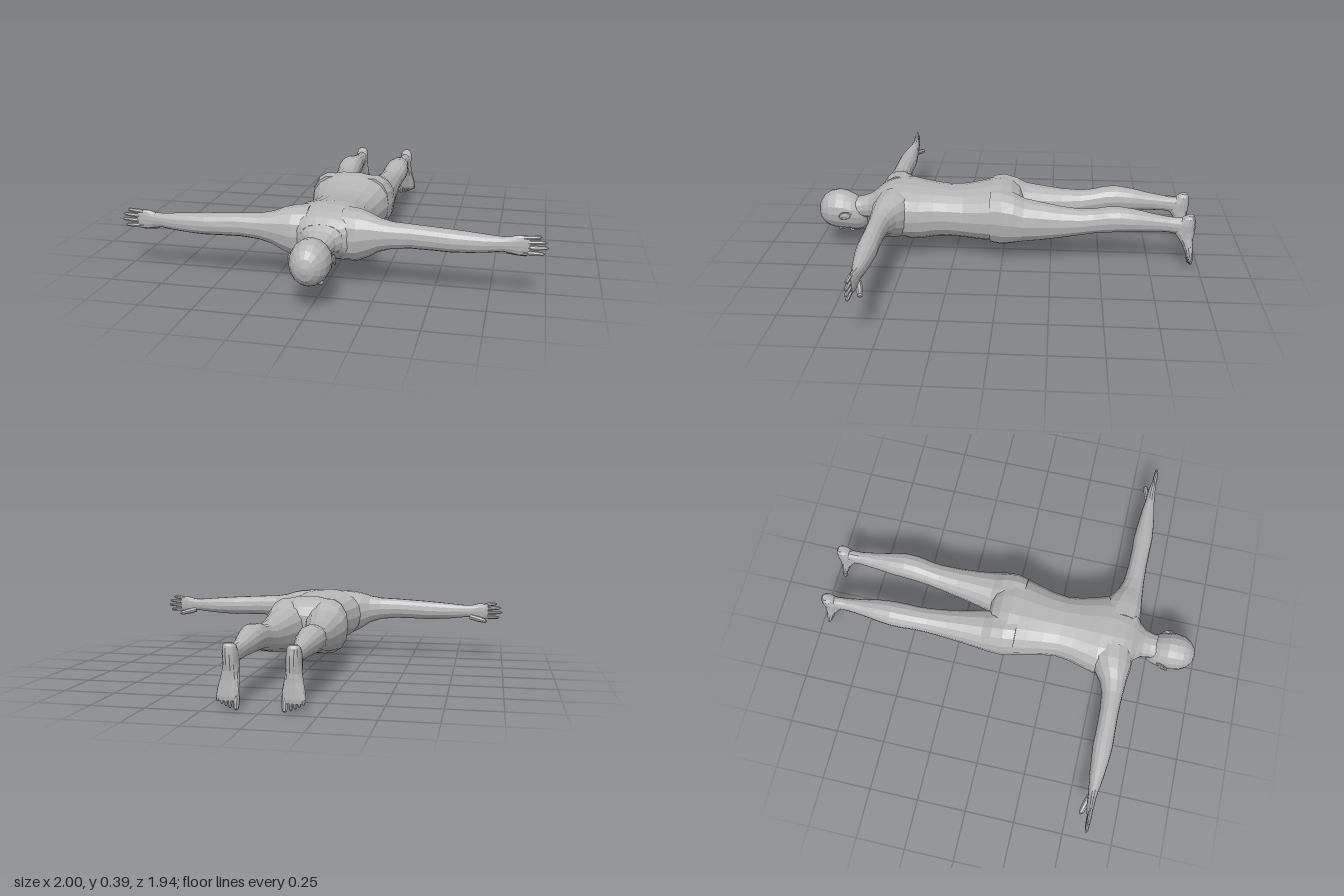
import * as THREE from 'three';

const skin = new THREE.MeshStandardMaterial({ color: 0xb4b4b4, flatShading: true });
skin.name = 'plain grey';

// Position index of the two cross-section directions for each loft axis
const CROSS = { x: [2, 1], y: [0, 2], z: [0, 1] };

// Rows are [t, aMin, aMax, bMin, bMax]: a rounded section at t along the axis.
function loft(name, axis, rows, { side = 1, segs = 14, round = 0.9 } = {}) {
  const [ia, ib] = CROSS[axis];
  const it = 'xyz'.indexOf(axis);
  const pos = [], idx = [];
  const add = (t, a, b) => {
    const p = [0, 0, 0];
    p[it] = t; p[ia] = a; p[ib] = b;
    pos.push(p[0] * side, p[1], p[2]);
  };
  const soft = (v) => Math.sign(v) * Math.pow(Math.abs(v), round);
  for (const [t, a0, a1, b0, b1] of rows) {
    for (let i = 0; i < segs; i++) {
      const w = (i / segs) * Math.PI * 2;
      add(t, (a0 + a1) / 2 + soft(Math.cos(w)) * (a1 - a0) / 2,
        (b0 + b1) / 2 + soft(Math.sin(w)) * (b1 - b0) / 2);
    }
  }
  const n = rows.length;
  for (let r = 0; r < n - 1; r++) {
    for (let i = 0; i < segs; i++) {
      const j = (i + 1) % segs, p = r * segs, q = p + segs;
      idx.push(p + i, p + j, q + j, p + i, q + j, q + i);
    }
  }
  // End caps
  for (const [r, flip] of [[0, true], [n - 1, false]]) {
    const [t, a0, a1, b0, b1] = rows[r], c = pos.length / 3;
    add(t, (a0 + a1) / 2, (b0 + b1) / 2);
    for (let i = 0; i < segs; i++) {
      const p = r * segs + i, q = r * segs + (i + 1) % segs;
      if (flip) idx.push(c, q, p); else idx.push(c, p, q);
    }
  }
  // Turn the faces outward if the enclosed volume comes out negative
  const v = (k) => new THREE.Vector3().fromArray(pos, k * 3);
  let volume = 0;
  for (let k = 0; k < idx.length; k += 3) volume += v(idx[k]).dot(v(idx[k + 1]).cross(v(idx[k + 2])));
  if (volume < 0) idx.reverse();
  const g = new THREE.BufferGeometry();
  g.setAttribute('position', new THREE.Float32BufferAttribute(pos, 3));
  g.setIndex(idx);
  g.computeVertexNormals();
  const mesh = new THREE.Mesh(g, skin);
  mesh.name = name;
  return mesh;
}

function ball(name, x, y, z, rx, ry, rz) {
  const mesh = new THREE.Mesh(new THREE.SphereGeometry(1, 10, 8), skin);
  mesh.name = name;
  mesh.position.set(x, y, z);
  mesh.scale.set(rx, ry, rz);
  return mesh;
}

// Tapered finger or toe between two points
function digit(name, from, to, r, side) {
  const a = new THREE.Vector3(...from), b = new THREE.Vector3(...to);
  a.x *= side; b.x *= side;
  const len = a.distanceTo(b);
  const profile = [[0, 0], [r, 0], [r, len * 0.5], [r * 0.8, len * 0.88], [0, len]];
  const g = new THREE.LatheGeometry(profile.map((p) => new THREE.Vector2(...p)), 7);
  const mesh = new THREE.Mesh(g, skin);
  mesh.name = name;
  mesh.position.copy(a);
  mesh.quaternion.setFromUnitVectors(new THREE.Vector3(0, 1, 0), b.sub(a).normalize());
  return mesh;
}

// Symmetric section along z: position, half width, bottom, top
const sym = ([z, w, y0, y1]) => [z, -w, w, y0, y1];

function makeHead() {
  const head = new THREE.Group();
  head.name = 'head';
  head.add(loft('skull', 'z', [
    [0.972, 0.012, 0.195, 0.225], [0.962, 0.042, 0.16, 0.26], [0.94, 0.067, 0.133, 0.291],
    [0.91, 0.084, 0.117, 0.311], [0.87, 0.091, 0.109, 0.32], [0.83, 0.09, 0.107, 0.314],
    [0.79, 0.083, 0.104, 0.295], [0.76, 0.071, 0.103, 0.277], [0.735, 0.054, 0.112, 0.265],
    [0.718, 0.035, 0.135, 0.25],
  ].map(sym), { segs: 16, round: 1 }));
  head.add(loft('neck', 'z', [
    [0.8, 0.06, 0.17, 0.275], [0.74, 0.064, 0.175, 0.285], [0.7, 0.074, 0.177, 0.298],
    [0.66, 0.11, 0.165, 0.325], [0.6, 0.14, 0.15, 0.35],
  ].map(sym)));
  head.add(ball('nose', 0, 0.1, 0.808, 0.014, 0.019, 0.015));
  head.add(ball('noseBridge', 0, 0.108, 0.83, 0.009, 0.01, 0.025));
  head.add(ball('upperLip', 0, 0.104, 0.78, 0.024, 0.009, 0.007));
  head.add(ball('lowerLip', 0, 0.104, 0.768, 0.02, 0.009, 0.007));
  head.add(ball('chin', 0, 0.115, 0.745, 0.024, 0.015, 0.014));
  for (const s of [1, -1]) {
    head.add(ball('eye', s * 0.036, 0.122, 0.84, 0.015, 0.012, 0.009));
    head.add(ball('brow', s * 0.036, 0.121, 0.86, 0.024, 0.011, 0.008));
    const ear = ball('ear', s * 0.092, 0.213, 0.817, 0.008, 0.018, 0.032);
    ear.rotation.y = s * 0.3;
    const rim = new THREE.Mesh(new THREE.TorusGeometry(0.017, 0.004, 5, 12), skin);
    rim.name = 'earRim';
    rim.position.set(s * 0.097, 0.213, 0.82);
    rim.rotation.y = Math.PI / 2 + s * 0.3;
    rim.scale.x = 1.5;
    head.add(ear, rim);
  }
  return head;
}

function makeArm(side) {
  const arm = new THREE.Group();
  arm.name = side > 0 ? 'leftArm' : 'rightArm';
  arm.add(loft('armAndPalm', 'x', [
    [0.08, 0.44, 0.66, 0.12, 0.37], [0.15, 0.455, 0.665, 0.125, 0.366], [0.2, 0.485, 0.657, 0.15, 0.355],
    [0.25, 0.52, 0.652, 0.183, 0.338], [0.31, 0.542, 0.647, 0.203, 0.327], [0.4, 0.55, 0.644, 0.212, 0.323],
    [0.5, 0.552, 0.646, 0.211, 0.317], [0.57, 0.55, 0.648, 0.209, 0.313], [0.65, 0.556, 0.642, 0.212, 0.307],
    [0.73, 0.563, 0.632, 0.218, 0.3], [0.8, 0.573, 0.62, 0.227, 0.295], [0.83, 0.575, 0.616, 0.224, 0.297],
    [0.87, 0.578, 0.614, 0.214, 0.308], [0.905, 0.585, 0.612, 0.217, 0.308], [0.918, 0.59, 0.608, 0.222, 0.302],
  ], { side }));
  // Fingers fan out across the palm
  [[0.298, 0.305, 0.968], [0.275, 0.282, 0.993], [0.252, 0.257, 1.0], [0.23, 0.228, 0.985]]
    .forEach(([y0, y1, tip]) => arm.add(
      digit('finger', [0.89, y0, 0.6], [tip, y1, 0.6], 0.0105, side)));
  arm.add(digit('thumb', [0.82, 0.23, 0.585], [0.915, 0.208, 0.558], 0.015, side));
  return arm;
}

function makeLeg(side) {
  const leg = new THREE.Group();
  leg.name = side > 0 ? 'leftLeg' : 'rightLeg';
  leg.add(loft('thighAndCalf', 'z', [
    [0.06, 0.0, 0.2, 0.1, 0.375], [0, -0.002, 0.213, 0.093, 0.38], [-0.06, 0.0, 0.212, 0.103, 0.363],
    [-0.11, 0.006, 0.207, 0.113, 0.336], [-0.2, 0.028, 0.196, 0.124, 0.32], [-0.3, 0.047, 0.19, 0.142, 0.304],
    [-0.4, 0.062, 0.187, 0.163, 0.296], [-0.46, 0.069, 0.19, 0.176, 0.302], [-0.53, 0.072, 0.199, 0.187, 0.317],
    [-0.59, 0.075, 0.2, 0.19, 0.32], [-0.67, 0.081, 0.19, 0.193, 0.308], [-0.76, 0.095, 0.174, 0.196, 0.288],
    [-0.84, 0.105, 0.165, 0.194, 0.274], [-0.9, 0.107, 0.166, 0.18, 0.272], [-0.945, 0.112, 0.162, 0.19, 0.27],
  ], { side }));
  // The foot hangs from the heel down to the toes
  leg.add(loft('foot', 'y', [
    [0.288, 0.122, 0.158, -0.96, -0.93], [0.275, 0.11, 0.168, -0.968, -0.905], [0.24, 0.104, 0.172, -0.972, -0.875],
    [0.2, 0.103, 0.171, -0.97, -0.862], [0.17, 0.101, 0.173, -0.965, -0.885], [0.13, 0.096, 0.182, -0.965, -0.91],
    [0.09, 0.09, 0.191, -0.968, -0.926], [0.06, 0.091, 0.194, -0.97, -0.936], [0.043, 0.096, 0.186, -0.968, -0.944],
  ], { side }));
  for (let i = 0; i < 5; i++) {
    const x = i ? 0.114 + i * 0.0178 : 0.105;
    const tip = [0.002, 0.01, 0.018, 0.027, 0.037][i];
    leg.add(digit('toe', [x - 0.002, 0.065, -0.953], [x, tip, -0.96], i ? 0.0085 : 0.0135, side));
  }
  return leg;
}

export function createModel() {
  const body = new THREE.Group();
  body.name = 'figure';
  body.add(loft('torso', 'z', [
    [0.67, 0.1, 0.17, 0.318], [0.64, 0.155, 0.15, 0.342], [0.6, 0.185, 0.13, 0.362],
    [0.54, 0.205, 0.108, 0.377], [0.48, 0.204, 0.092, 0.376], [0.42, 0.185, 0.086, 0.367],
    [0.35, 0.166, 0.096, 0.357], [0.28, 0.157, 0.1, 0.35], [0.2, 0.167, 0.096, 0.353],
    [0.12, 0.186, 0.09, 0.368], [0.06, 0.2, 0.088, 0.384], [0.01, 0.21, 0.09, 0.39],
    [-0.04, 0.2, 0.103, 0.375], [-0.08, 0.15, 0.13, 0.345], [-0.1, 0.08, 0.17, 0.3],
  ].map(sym), { segs: 18, round: 0.85 }));
  body.add(makeHead());
  for (const side of [1, -1]) body.add(makeArm(side), makeLeg(side));
  return body;
}
